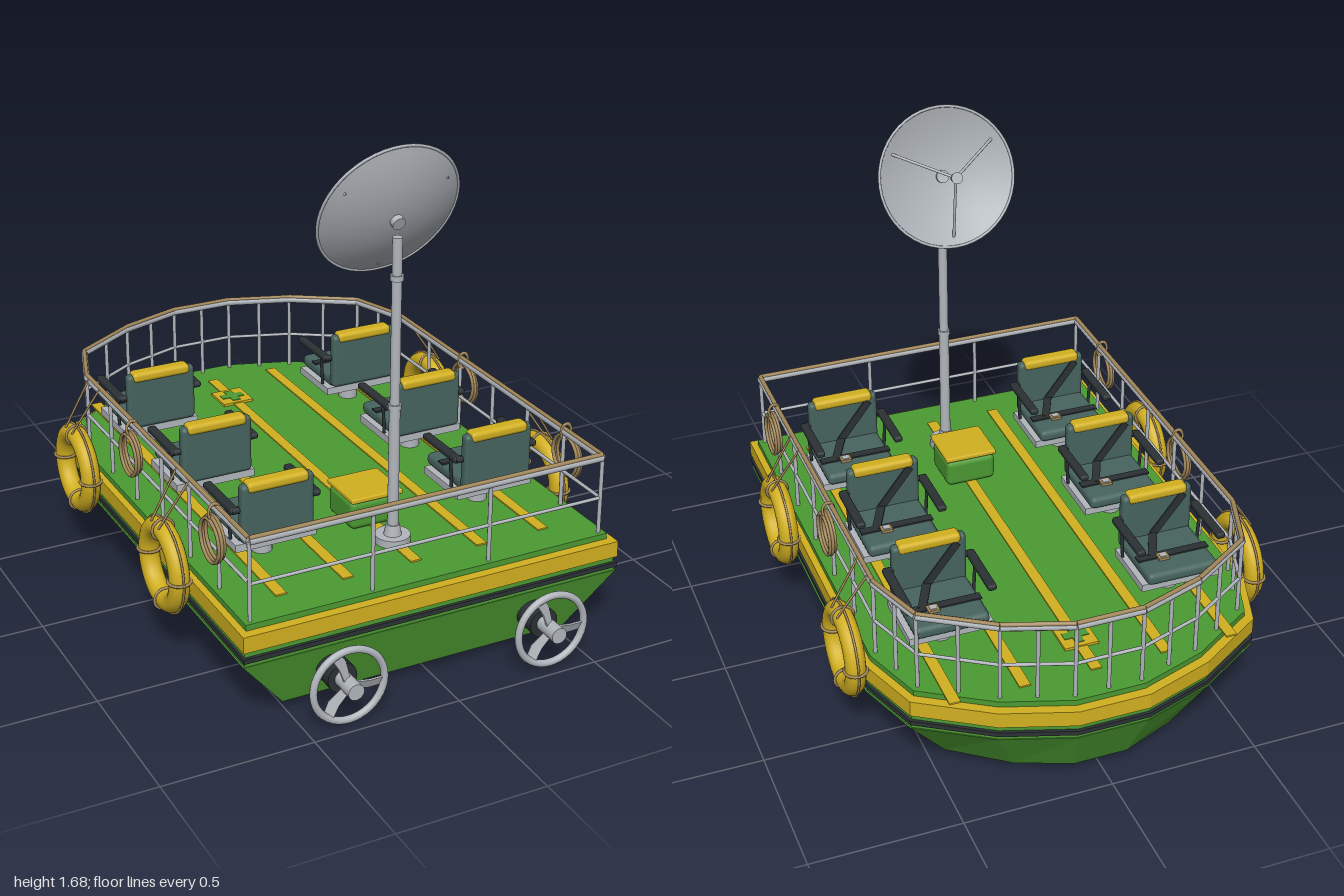
import * as THREE from 'three';
import { RoundedBoxGeometry } from 'three/addons/geometries/RoundedBoxGeometry.js';

const mat = (name, color, extra = {}) => {
  const m = new THREE.MeshStandardMaterial({ color, ...extra });
  m.name = name;
  return m;
};
const V = (x, y, z) => new THREE.Vector3(x, y, z);

export function createModel() {
  const green = mat('green', 0x4c9a32);
  const yellow = mat('yellow', 0xd2b020);
  const grey = mat('grey metal', 0xb2b7bd);
  const greyThin = mat('grey sheet', 0xacb1b7, { side: THREE.DoubleSide });
  const black = mat('black', 0x2b3134);
  const teal = mat('seat teal', 0x47645e);
  const tan = mat('rope tan', 0xa58a5c);

  const root = new THREE.Group();
  root.name = 'raft';
  const group = (name, parent = root) => {
    const g = new THREE.Group();
    g.name = name;
    parent.add(g);
    return g;
  };
  const add = (parent, name, geo, material, x = 0, y = 0, z = 0) => {
    const m = new THREE.Mesh(geo, material);
    m.name = name;
    m.position.set(x, y, z);
    parent.add(m);
    return m;
  };
  const box = (p, name, m, w, h, d, x, y, z) => add(p, name, new THREE.BoxGeometry(w, h, d), m, x, y, z);
  const soft = (p, name, m, w, h, d, x, y, z, r = 0.012) =>
    add(p, name, new RoundedBoxGeometry(w, h, d, 2, r), m, x, y, z);
  const cyl = (p, name, m, r, h, x, y, z, r2 = r) =>
    add(p, name, new THREE.CylinderGeometry(r2, r, h, 20), m, x, y, z);
  // round bar between two points
  const rod = (p, name, m, a, b, r, sides = 8) => {
    const d = b.clone().sub(a);
    const mesh = add(p, name, new THREE.CylinderGeometry(r, r, d.length(), sides), m);
    mesh.position.copy(a).addScaledVector(d, 0.5);
    mesh.quaternion.setFromUnitVectors(V(0, 1, 0), d.normalize());
    return mesh;
  };

  // plan outline, counterclockwise from above
  const half = [[0.665, 0.86], [0.665, -0.55], [0.59, -0.77], [0.355, -0.92], [0.12, -1]];
  const outline = [...half, ...half.slice().reverse().map(([x, z]) => [-x, z])];
  const ring = (y, sx, sz = sx, cz = -0.07) => outline.map(([x, z]) => V(x * sx, y, (z + 0.07) * sz + cz));
  // closed slab between two rings
  const slab = (low, high) => {
    const pts = [], n = low.length;
    for (let i = 0; i < n; i++) {
      const j = (i + 1) % n;
      pts.push(low[i], low[j], high[j], low[i], high[j], high[i]);
      if (i > 0 && i < n - 1) pts.push(high[0], high[i], high[j], low[0], low[j], low[i]);
    }
    const g = new THREE.BufferGeometry().setFromPoints(pts);
    g.computeVertexNormals();
    return g;
  };

  // hull layers
  const hull = group('hull');
  add(hull, 'lowerHull', slab(ring(0.04, 0.767, 0.914, -0.05), ring(0.232, 1, 0.995)), green);
  const layers = [
    ['lowerStrake', green, 0.232, 0.246, 0.992], ['rubbingStrip', black, 0.246, 0.262, 1],
    ['upperStrake', green, 0.262, 0.283, 0.988], ['yellowBand', yellow, 0.283, 0.338, 1],
    ['deck', green, 0.338, 0.358, 0.965],
  ];
  for (const [name, m, y0, y1, s] of layers) add(hull, name, slab(ring(y0, s), ring(y1, s)), m);

  // deck markings
  for (const x of [-0.47, -0.24, 0, 0.24, 0.47])
    box(root, 'deckStripe', yellow, 0.037, 0.006, 1.565, x, 0.36, -0.068);
  box(root, 'crossPanel', yellow, 0.116, 0.009, 0.116, 0, 0.363, -0.675);
  box(root, 'crossBar', green, 0.084, 0.006, 0.03, 0, 0.367, -0.675);
  box(root, 'crossBar', green, 0.03, 0.0062, 0.084, 0, 0.367, -0.675);

  // locker
  soft(root, 'lockerBody', green, 0.18, 0.1, 0.17, 0, 0.408, 0.365, 0.02);
  soft(root, 'lockerLid', yellow, 0.186, 0.018, 0.18, 0, 0.467, 0.37, 0.006);

  // railing
  const rail = group('railing');
  const top = ring(0.625, 0.932, 0.943, -0.0675);
  const at = (p, y) => V(p.x, y, p.z);
  const counts = [6, 2, 2, 2, 2, 2, 2, 2, 6, 3];
  top.forEach((a, i) => {
    const b = top[(i + 1) % top.length];
    rod(rail, 'topRail', grey, a, b, 0.012);
    rod(rail, 'railRope', tan, at(a, 0.636), at(b, 0.636), 0.008, 6);
    rod(rail, 'midRail', grey, at(a, 0.483), at(b, 0.483), 0.006);
    for (let k = 0; k < counts[i]; k++) {
      const p = a.clone().lerp(b, k / counts[i]);
      rod(rail, 'railPost', grey, at(p, 0.355), p, 0.007);
    }
  });

  // seats facing the bow
  const strap = (p, a, b, w, rollAxis) => {
    const d = b.clone().sub(a);
    const m = box(p, 'harnessStrap', black, w, d.length(), 0.006, 0, 0, 0);
    m.position.copy(a).addScaledVector(d, 0.5);
    const y = d.normalize(), x = V(0, 0, 0).crossVectors(y, rollAxis).normalize();
    m.quaternion.setFromRotationMatrix(new THREE.Matrix4().makeBasis(x, y, V(0, 0, 0).crossVectors(x, y)));
  };
  const seat = (x, z) => {
    const s = group('seat');
    s.position.set(x, 0, z);
    cyl(s, 'seatPedestal', grey, 0.034, 0.08, 0, 0.395, 0);
    box(s, 'seatPlate', grey, 0.28, 0.026, 0.22, 0, 0.442, 0);
    soft(s, 'seatCushion', teal, 0.25, 0.044, 0.235, 0, 0.476, -0.01, 0.018);
    soft(s, 'seatBack', teal, 0.25, 0.2, 0.04, 0, 0.56, 0.11, 0.015);
    soft(s, 'headPad', yellow, 0.21, 0.036, 0.052, 0, 0.651, 0.11, 0.014);
    for (const k of [-1, 1]) {
      soft(s, 'armrest', black, 0.03, 0.022, 0.215, k * 0.141, 0.573, 0.005, 0.008);
      rod(s, 'armStrut', black, V(k * 0.135, 0.455, 0.06), V(k * 0.141, 0.57, 0.06), 0.006);
      rod(s, 'armBracket', black, V(k * 0.11, 0.573, 0.105), V(k * 0.15, 0.573, 0.105), 0.011);
    }
    box(s, 'lapBelt', black, 0.252, 0.006, 0.03, 0, 0.5, -0.03);
    strap(s, V(0.07, 0.501, -0.03), V(0.015, 0.501, 0.088), 0.028, V(0, 1, 0));
    strap(s, V(0.015, 0.5, 0.088), V(-0.09, 0.635, 0.088), 0.028, V(0, 0, -1));
    box(s, 'buckle', tan, 0.038, 0.009, 0.034, 0.04, 0.503, -0.045);
    box(s, 'buckleButton', grey, 0.022, 0.008, 0.02, 0.04, 0.506, -0.045);
  };
  for (const z of [-0.51, -0.04, 0.42]) for (const x of [-0.397, 0.397]) seat(x, z);

  // life rings and rope coils on both sides
  for (const k of [-1, 1]) {
    for (const z of [-0.435, 0.335]) {
      const g = group('lifeRing');
      g.position.set(k * 0.698, 0.335, z);
      g.rotation.y = Math.PI / 2;
      add(g, 'float', new THREE.TorusGeometry(0.124, 0.034, 14, 40), yellow);
      add(g, 'grabLine', new THREE.TorusGeometry(0.16, 0.004, 6, 40), tan);
      for (let i = 0; i < 4; i++) {
        const a = i * Math.PI / 2;
        const band = add(g, 'ropeBand', new THREE.TorusGeometry(0.037, 0.005, 6, 18), tan,
          0.124 * Math.cos(a), 0.124 * Math.sin(a), 0);
        band.rotation.set(Math.PI / 2, a, 0, 'ZXY');
        band.rotation.set(0, 0, 0);
        band.quaternion.setFromUnitVectors(V(0, 0, 1), V(-Math.sin(a), Math.cos(a), 0));
      }
      for (const dz of [-0.05, 0.05])
        rod(root, 'hangingRope', tan, V(k * 0.725, 0.48, z + dz * 0.6), V(k * 0.625, 0.635, z + dz), 0.004, 6);
    }
    for (const z of [-0.075, 0.585]) {
      for (let i = 0; i < 3; i++) {
        const c = add(root, 'ropeCoil', new THREE.TorusGeometry(0.07 + 0.003 * (i % 2), 0.006, 6, 30), tan,
          k * (0.63 + 0.009 * i), 0.535 - 0.004 * i, z);
        c.rotation.y = Math.PI / 2;
      }
      const tie = add(root, 'coilTie', new THREE.TorusGeometry(0.02, 0.005, 6, 16), tan, k * 0.63, 0.62, z);
      tie.scale.y = 1.4;
    }
  }

  // ringed propellers at the stern
  const bladeShape = new THREE.Shape([[-0.012, 0.015], [0.014, 0.015], [0.03, 0.075], [0.022, 0.124],
    [-0.012, 0.124], [-0.006, 0.07]].map(([x, y]) => new THREE.Vector2(x, y)));
  const bladeGeo = new THREE.ExtrudeGeometry(bladeShape, { depth: 0.006, bevelEnabled: false });
  bladeGeo.translate(0, 0, -0.003).rotateY(0.4);
  for (const x of [-0.36, 0.36]) {
    const g = group('propeller');
    g.position.set(x, 0.143, 0.952);
    add(g, 'guardRing', new THREE.TorusGeometry(0.121, 0.012, 10, 40), grey);
    cyl(g, 'motor', black, 0.05, 0.13, 0, 0, -0.107).rotation.x = Math.PI / 2;
    cyl(g, 'hub', grey, 0.027, 0.108, 0, 0, -0.006).rotation.x = Math.PI / 2;
    for (let i = 0; i < 3; i++) add(g, 'blade', bladeGeo, grey).rotation.z = 0.45 + i * Math.PI * 2 / 3;
  }

  // mast
  const mast = group('mast');
  mast.position.z = 0.56;
  cyl(mast, 'mastFoot', grey, 0.058, 0.026, 0, 0.371, 0);
  cyl(mast, 'mastSocket', grey, 0.03, 0.04, 0, 0.4, 0, 0.022);
  cyl(mast, 'lowerMast', grey, 0.018, 0.47, 0, 0.595, 0);
  cyl(mast, 'upperMast', grey, 0.016, 0.56, 0, 1.11, 0);
  for (const y of [0.83, 1.26]) cyl(mast, 'mastCollar', grey, 0.021, 0.018, 0, y, 0);

  // dish facing the bow and tilted up
  const dish = group('dish');
  dish.position.set(0, 1.46, 0.5);
  dish.rotation.x = -1.2;
  const bowl = [];
  for (let i = 0; i <= 10; i++) bowl.push(new THREE.Vector2(0.238 * i / 10, -0.056 * (1 - (i / 10) ** 2)));
  add(dish, 'bowl', new THREE.LatheGeometry(bowl, 48), greyThin);
  add(dish, 'rim', new THREE.TorusGeometry(0.238, 0.005, 8, 48), grey).rotation.x = Math.PI / 2;
  cyl(dish, 'dishMount', grey, 0.022, 0.03, 0, -0.06, 0);
  cyl(dish, 'feedHorn', grey, 0.013, 0.036, 0, 0.092, 0, 0.02);
  for (const deg of [30, 150, 270]) {
    const a = deg * Math.PI / 180;
    rod(dish, 'feedStrut', grey, V(0.205 * Math.cos(a), -0.015, 0.205 * Math.sin(a)), V(0, 0.095, 0), 0.005);
  }
  return root;
}
